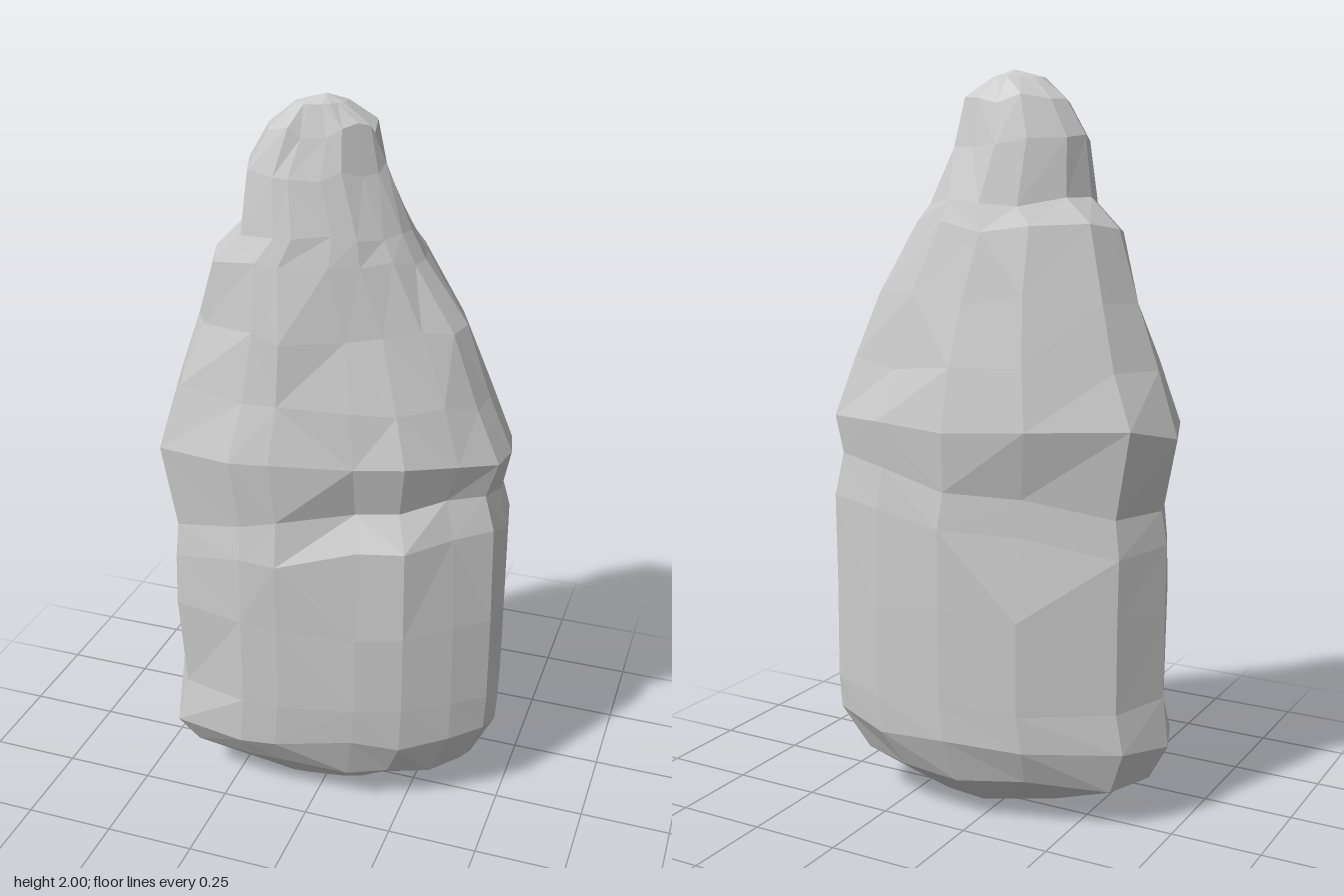
import * as THREE from 'three';

// Plan outline of the stone, scaled to -1..1, running left tip > front > right > back
const OUTLINE = [
  [-1, 0.2], [-0.86, 0.84], [-0.42, 1], [-0.2, 0.98], [0.25, 0.83], [0.52, 0.68], [0.78, 0.38],
  [0.96, 0.1], [1, -0.17], [0.96, -0.53], [0.89, -0.78], [0.54, -0.97], [0.12, -1], [-0.33, -0.81], [-0.83, -0.32],
];

// Rings from bottom to top: y, xMin, xMax, zBack, zFront, slant (rise of the ring along x)
const RINGS = [
  [0.04, -0.2, 0.22, -0.12, 0.13, 0],
  [0.12, -0.42, 0.41, -0.21, 0.21, 0],
  [0.23, -0.47, 0.48, -0.255, 0.26, 0.04],
  [0.35, -0.45, 0.48, -0.26, 0.262, 0],
  [0.6, -0.45, 0.48, -0.26, 0.26, 0],
  [0.82, -0.45, 0.48, -0.258, 0.262, 0.12],
  [0.92, -0.44, 0.455, -0.25, 0.245, 0.14],
  [1.09, -0.48, 0.48, -0.26, 0.255, 0.02],
  [1.24, -0.42, 0.42, -0.225, 0.22, 0],
  [1.42, -0.365, 0.35, -0.195, 0.205, 0],
  [1.6, -0.31, 0.24, -0.155, 0.17, 0],
  [1.67, -0.23, 0.2, -0.14, 0.155, 0],
  [1.82, -0.215, 0.135, -0.105, 0.13, 0],
  [1.92, -0.16, 0.11, -0.08, 0.1, 0],
  [1.98, -0.09, 0.04, -0.035, 0.07, 0],
];

// Hollows pressed into the surface: centre x, y, z, radius, depth
const DENTS = [
  [0.15, 0.97, 0.2, 0.16, 0.05],
  [-0.2, 0.9, -0.22, 0.2, 0.035],
  [0.18, 1.42, 0.12, 0.2, 0.03],
  [-0.26, 1.42, 0.19, 0.15, 0.03],
  [-0.33, 0.35, 0.23, 0.14, 0.02],
  [0.37, 0.95, 0.08, 0.12, 0.025],
];

// Repeatable roughness in -1..1
const rough = (n) => {
  const s = Math.sin(n * 12.9898) * 43758.5453;
  return (s - Math.floor(s)) * 2 - 1;
};

function ringPoint([y, x0, x1, z0, z1, slant], i, j) {
  const [u, w] = OUTLINE[i];
  const cx = (x0 + x1) / 2, cz = (z0 + z1) / 2;
  const p = new THREE.Vector3(cx + u * (x1 - x0) / 2, 0, cz + w * (z1 - z0) / 2);
  p.y = y + slant * p.x + 0.018 * rough(i * 7 + j * 31) * (j > 0 && j < RINGS.length - 1 ? 1 : 0);
  // pull towards the core where a hollow lies
  let pull = 0.008 * (rough(i + j * 17 + 3) + 1) / 2;
  for (const [dx, dy, dz, r, depth] of DENTS) {
    const d = Math.hypot(p.x - dx, p.y - dy, p.z - dz) / r;
    if (d < 1) pull += depth * (1 - d * d);
  }
  const inward = new THREE.Vector3((cx - p.x) * 0.3, 0, cz - p.z).normalize();
  return p.addScaledVector(inward, pull);
}

function stoneGeometry() {
  const n = OUTLINE.length, m = RINGS.length;
  const pos = [], index = [];
  RINGS.forEach((ring, j) => OUTLINE.forEach((_, i) => pos.push(...ringPoint(ring, i, j).toArray())));
  const bottom = n * m, top = bottom + 1;
  pos.push(0.05, 0, -0.05, -0.01, 2, 0.02);
  for (let i = 0; i < n; i++) {
    const k = (i + 1) % n;
    for (let j = 0; j < m - 1; j++) {
      const a = j * n + i, b = j * n + k, c = b + n, d = a + n;
      if (rough(i * 5 + j * 13) > 0) index.push(a, b, c, a, c, d);
      else index.push(a, b, d, b, c, d);
    }
    index.push(bottom, k, i, top, (m - 1) * n + i, (m - 1) * n + k);
  }
  const g = new THREE.BufferGeometry();
  g.setAttribute('position', new THREE.Float32BufferAttribute(pos, 3));
  g.setIndex(index);
  const faceted = g.toNonIndexed();
  faceted.computeVertexNormals();
  return faceted;
}

export function createModel() {
  const group = new THREE.Group();
  group.name = 'standingStone';
  const stone = new THREE.Mesh(
    stoneGeometry(),
    new THREE.MeshStandardMaterial({ color: 0xcccccc, flatShading: true }),
  );
  stone.name = 'stone';
  group.add(stone);
  return group;
}
